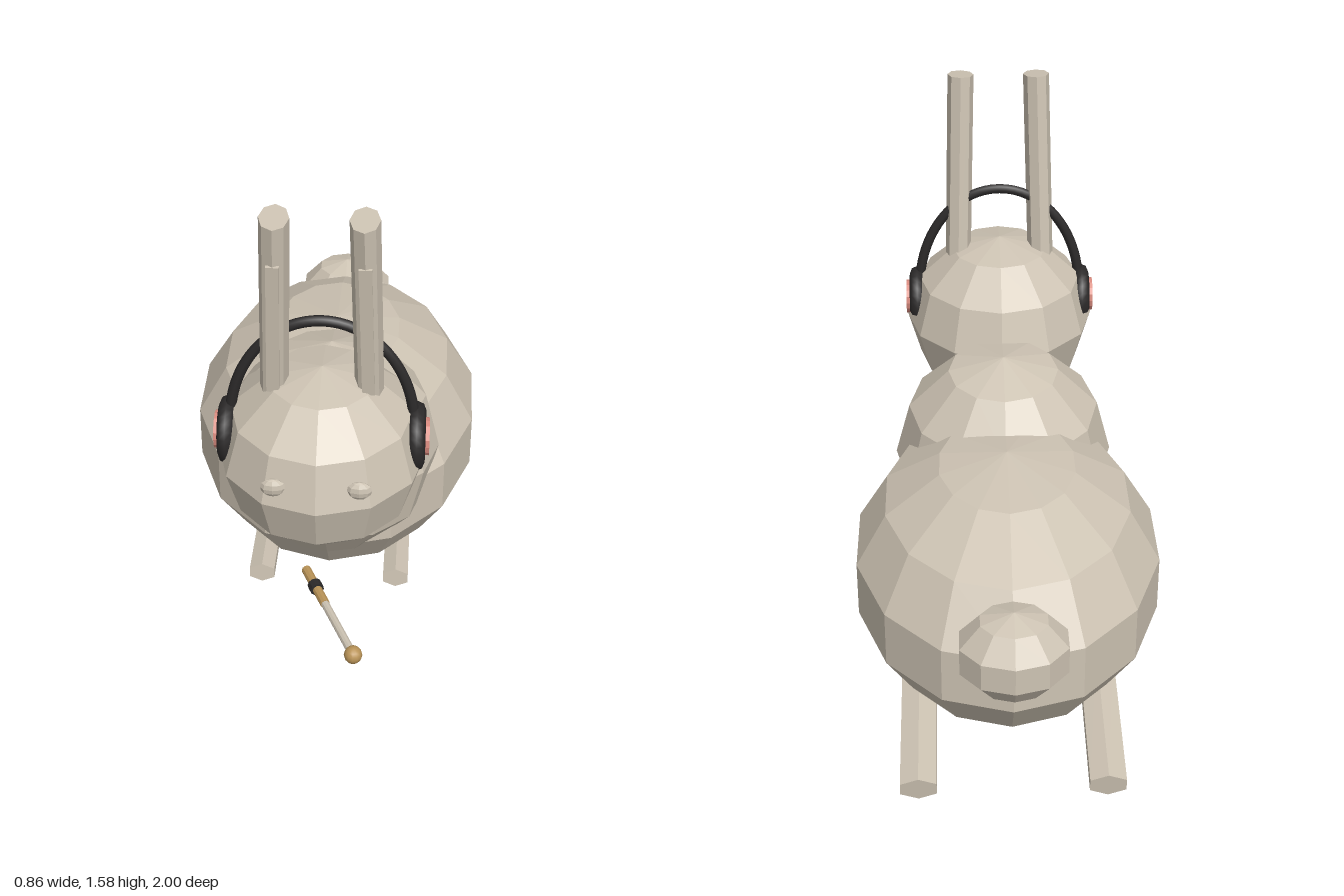
import * as THREE from 'three';

const V = (x, y, z) => new THREE.Vector3(x, y, z);

export function createModel() {
  const model = new THREE.Group();
  const mat = (name, color) => {
    const m = new THREE.MeshStandardMaterial({ color });
    m.name = name;
    return m;
  };
  const fur = mat('warm grey fur', 0xcdc3b3);
  const black = mat('black plastic', 0x2c2a2a);
  const pink = mat('pink pad', 0xd88a7e);
  const brass = mat('brass', 0xba9458);

  // Faceted geometry: every face gets its own normal
  const flat = (g) => {
    const f = g.index ? g.toNonIndexed() : g;
    f.computeVertexNormals();
    return f;
  };
  const add = (name, geometry, material, parent = model) => {
    const mesh = new THREE.Mesh(geometry, material);
    mesh.name = name;
    parent.add(mesh);
    return mesh;
  };
  // Faceted ellipsoid with a vertex column facing front
  const blob = (name, pos, radii, seg, rings, tilt = 0, parent = model) => {
    const g = new THREE.SphereGeometry(1, seg, rings);
    g.rotateY(Math.PI / 2).scale(...radii).rotateX(tilt);
    const mesh = add(name, flat(g), fur, parent);
    mesh.position.set(...pos);
    return mesh;
  };
  // Straight rod between two points with an elliptical section
  const rod = (name, a, b, rx, rz, sides, material, parent = model) => {
    const d = b.clone().sub(a);
    const g = new THREE.CylinderGeometry(1, 1, d.length(), sides);
    g.scale(rx, 1, rz);
    const mesh = add(name, flat(g), material, parent);
    mesh.position.copy(a).add(b).multiplyScalar(0.5);
    mesh.quaternion.setFromUnitVectors(V(0, 1, 0), d.normalize());
    return mesh;
  };

  // Body masses
  blob('body', [0, 0.392, -0.31], [0.452, 0.373, 0.59], 14, 7);
  blob('chest', [0, 0.55, 0.05], [0.325, 0.34, 0.325], 12, 6, -0.1);
  blob('head', [0, 0.822, 0.43], [0.288, 0.265, 0.305], 12, 6);
  blob('tail', [0, 0.503, -0.872], [0.158, 0.128, 0.134], 10, 5);

  for (const s of [1, -1]) {
    const side = s > 0 ? 'left' : 'right';

    // Ears with a thin inner panel on the front
    const ear = rod(side + 'Ear', V(s * 0.128, 1.0, 0.436), V(s * 0.113, 1.583, 0.512),
      0.039, 0.055, 8, fur);
    const inner = add(side + 'InnerEar', new THREE.BoxGeometry(0.034, 0.42, 0.009), fur, ear);
    inner.position.set(0, -0.03, 0.053);

    // Eyes
    blob(side + 'Eye', [s * 0.113, 0.878, 0.692], [0.034, 0.027, 0.016], 8, 6);

    // Feet
    rod(side + 'FrontFoot', V(s * 0.207, 0.08, -0.145), V(s * 0.207, 0.12, 0.175),
      0.044, 0.031, 6, fur);
    rod(side + 'HindFoot', V(s * 0.26, 0.044, -0.885), V(s * 0.26, 0.1, -0.43),
      0.058, 0.039, 6, fur);

    // Headphone cup: open ring around a round pad
    const ringGeo = new THREE.TorusGeometry(0.071, 0.024, 8, 20, 4.8);
    ringGeo.rotateZ(-0.26).rotateY(Math.PI / 2);
    if (s < 0) ringGeo.rotateY(Math.PI).scale(1, 1, -1);
    const ring = add(side + 'CupRing', ringGeo, black);
    if (s < 0) {
      // Restore outward winding after mirroring
      const ix = ringGeo.index.array;
      for (let i = 0; i < ix.length; i += 3) [ix[i], ix[i + 1]] = [ix[i + 1], ix[i]];
    }
    ring.position.set(s * 0.257, 0.877, 0.445);
    rod(side + 'CupPad', V(s * 0.225, 0.877, 0.445), V(s * 0.292, 0.877, 0.445),
      0.052, 0.052, 16, pink);
  }

  // Headband arch
  const arch = [];
  for (let i = 0; i <= 16; i++) {
    const a = (Math.PI * i) / 16;
    arch.push(V(0.249 * Math.cos(a), 0.91 + 0.33 * Math.sin(a), 0.445));
  }
  add('headband', new THREE.TubeGeometry(new THREE.CatmullRomCurve3(arch), 40, 0.015, 8), black);

  // Microphone boom
  const start = V(-0.031, 0.567, 0.655);
  const end = V(0.113, 0.567, 0.975);
  const at = (t) => start.clone().lerp(end, t);
  rod('boomSleeve', start, at(0.42), 0.013, 0.013, 10, brass);
  rod('boomCollar', at(0.18), at(0.25), 0.019, 0.019, 10, black);
  rod('boomArm', at(0.4), end, 0.011, 0.011, 10, fur);
  add('microphoneTip', new THREE.SphereGeometry(0.024, 12, 8), brass).position.copy(end);

  return model;
}
